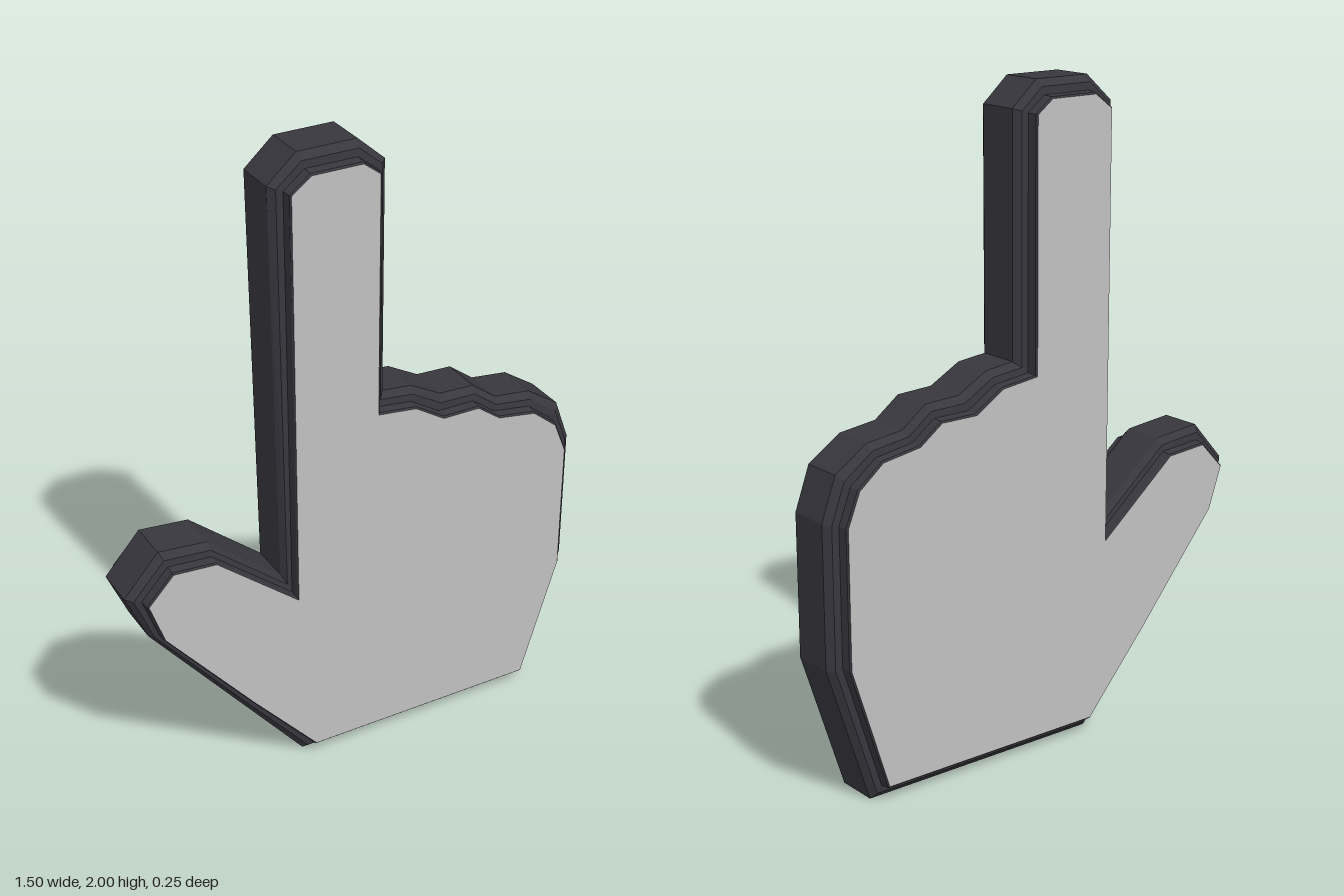
import * as THREE from 'three';

// Hand outline, counter-clockwise from the bottom left corner: outer edge of the rim
const OUTER = [
  [-0.19, 0], [0.61, 0], [0.747, 0.43], [0.747, 0.86], [0.70, 0.99], [0.595, 1.06], [0.475, 1.075],
  [0.395, 1.135], [0.28, 1.14], [0.18, 1.195], [0.085, 1.205], [0.085, 1.925], [0, 2], [-0.185, 2],
  [-0.275, 1.92], [-0.255, 0.677], [-0.485, 0.87], [-0.64, 0.885], [-0.75, 0.76], [-0.685, 0.61], [-0.405, 0.265],
];
// The same corners on the edge of the flat face
const INNER = [
  [-0.17, 0.05], [0.58, 0.05], [0.70, 0.435], [0.70, 0.85], [0.66, 0.95], [0.58, 1.015], [0.455, 1.035],
  [0.38, 1.09], [0.26, 1.09], [0.165, 1.15], [0.04, 1.165], [0.04, 1.91], [-0.013, 1.95], [-0.17, 1.95],
  [-0.23, 1.905], [-0.225, 0.61], [-0.485, 0.825], [-0.62, 0.835], [-0.70, 0.75], [-0.655, 0.62], [-0.38, 0.29],
];

// Rim profile on the front half: depth z and blend from outer (0) to inner (1)
const HALF = [[0.065, 0], [0.085, 0.4], [0.088, 0.85], [0.118, 0.9], [0.123, 1]];

function rimGeometry() {
  const rings = [...HALF.map(([z, t]) => [-z, t]).reverse(), ...HALF];
  const n = OUTER.length;
  const positions = [];
  const index = [];
  for (const [z, t] of rings) {
    OUTER.forEach(([x, y], i) => {
      positions.push(x + (INNER[i][0] - x) * t, y + (INNER[i][1] - y) * t, z);
    });
  }
  for (let r = 0; r < rings.length - 1; r++) {
    for (let i = 0; i < n; i++) {
      const a = r * n + i;
      const b = r * n + (i + 1) % n;
      index.push(a, b, b + n, a, b + n, a + n);
    }
  }
  const geometry = new THREE.BufferGeometry();
  geometry.setAttribute('position', new THREE.Float32BufferAttribute(positions, 3));
  geometry.setIndex(index);
  geometry.computeVertexNormals();
  return geometry;
}

export function createModel() {
  const group = new THREE.Group();
  group.name = 'pointingHand';

  const dark = new THREE.MeshStandardMaterial({ color: 0x38373e, flatShading: true });
  dark.name = 'darkRim';
  const grey = new THREE.MeshStandardMaterial({ color: 0xc0c0c0, flatShading: true });
  grey.name = 'lightGrey';

  // Stepped, bevelled rim running round the whole silhouette
  const rim = new THREE.Mesh(rimGeometry(), dark);
  rim.name = 'rim';
  group.add(rim);

  // Flat grey faces, front and back
  const shape = new THREE.Shape(INNER.map(([x, y]) => new THREE.Vector2(x, y)));
  const front = new THREE.Mesh(new THREE.ShapeGeometry(shape), grey);
  front.name = 'frontFace';
  front.position.z = 0.123;
  group.add(front);

  const mirrored = new THREE.Shape(INNER.map(([x, y]) => new THREE.Vector2(-x, y)));
  const back = new THREE.Mesh(new THREE.ShapeGeometry(mirrored), grey);
  back.name = 'backFace';
  back.rotation.y = Math.PI;
  back.position.z = -0.123;
  group.add(back);

  return group;
}
